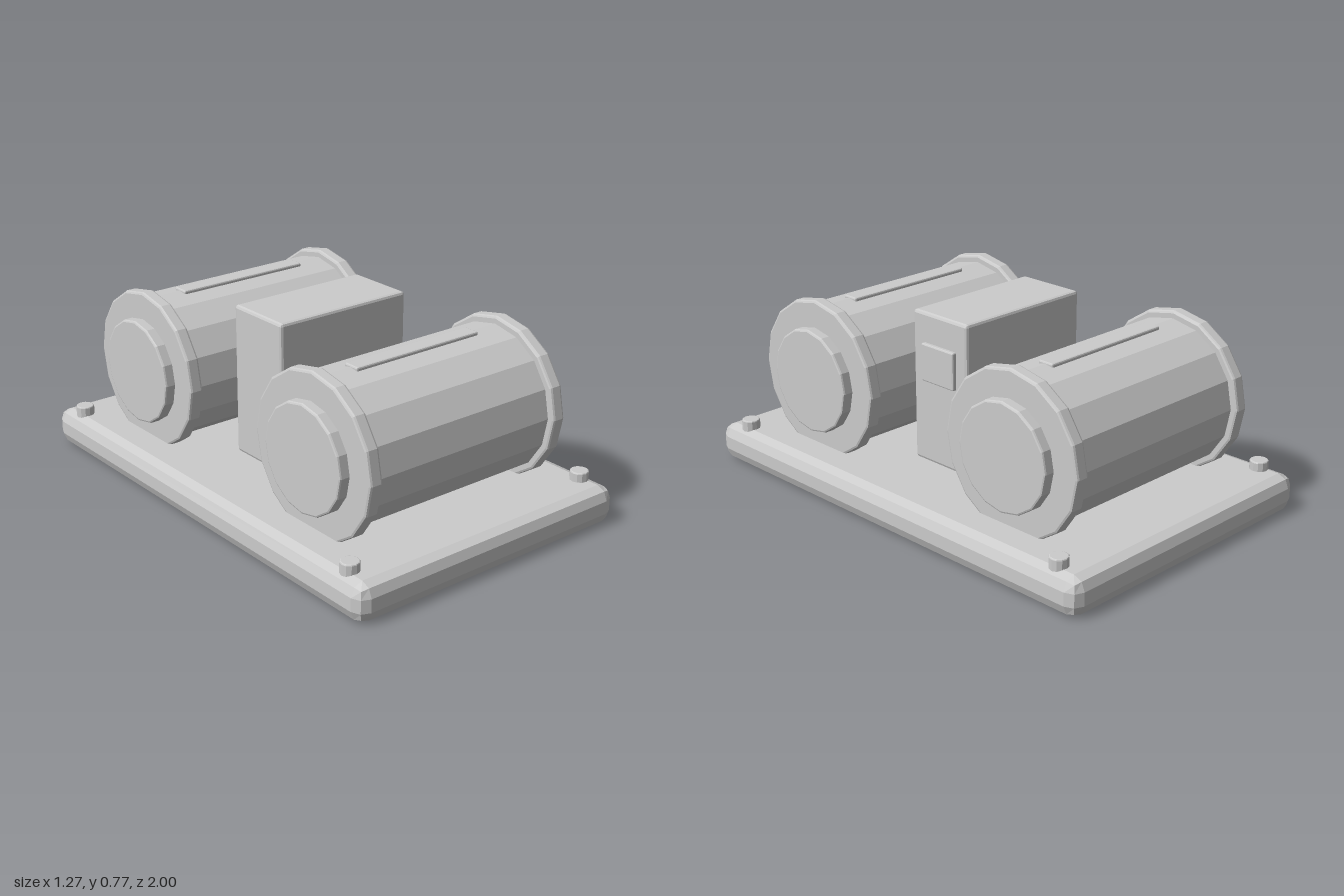
import * as THREE from 'three';
import { RoundedBoxGeometry } from 'three/addons/geometries/RoundedBoxGeometry.js';

const material = new THREE.MeshStandardMaterial({ color: 0xcccccc, flatShading: true });

function add(parent, name, geometry, x = 0, y = 0, z = 0) {
  const mesh = new THREE.Mesh(geometry, material);
  mesh.name = name;
  mesh.position.set(x, y, z);
  parent.add(mesh);
  return mesh;
}

// Upright disc with small rounded rims, centred on its own origin
function bevelledDisc(radius, height, bevel, sides) {
  const h = height / 2, k = bevel * 0.293;
  const profile = [
    [0, -h], [radius - bevel, -h], [radius - k, -h + k], [radius, -h + bevel],
    [radius, h - bevel], [radius - k, h - k], [radius - bevel, h], [0, h],
  ].map(([r, y]) => new THREE.Vector2(r, y));
  return new THREE.LatheGeometry(profile, sides);
}

// Same disc turned to lie along x
const axialDisc = (radius, width, bevel) =>
  bevelledDisc(radius, width, bevel, 16).rotateZ(-Math.PI / 2);

// Drum with end flanges, end caps and a thin strip along the top
function createDrum(name, z) {
  const drum = new THREE.Group();
  drum.name = name;
  drum.position.set(0, 0.43, z);
  add(drum, 'drumBody', new THREE.CylinderGeometry(0.295, 0.295, 0.88, 16).rotateZ(-Math.PI / 2));
  for (const side of [-1, 1]) {
    const label = side > 0 ? 'left' : 'right';
    add(drum, label + 'Flange', axialDisc(0.325, 0.057, 0.01), side * 0.4465);
    add(drum, label + 'EndCap', axialDisc(0.214, 0.068, 0.008), side * 0.484);
  }
  add(drum, 'topStrip', new RoundedBoxGeometry(0.59, 0.04, 0.07, 1, 0.006), 0, 0.282, 0);
  return drum;
}

export function createModel() {
  const model = new THREE.Group();
  model.name = 'twinDrumUnit';

  // Base plate
  add(model, 'basePlate', new RoundedBoxGeometry(1.27, 0.153, 2, 1, 0.05), 0, 0.0765, 0);

  // Two drums lying across the plate
  model.add(createDrum('frontDrum', 0.535), createDrum('backDrum', -0.535));

  // Central control box with a raised panel on its left end
  add(model, 'controlBox', new RoundedBoxGeometry(0.612, 0.612, 0.292, 1, 0.012), 0, 0.469, 0);
  add(model, 'controlPanel', new RoundedBoxGeometry(0.04, 0.153, 0.175, 1, 0.006), 0.303, 0.579, 0);

  // Corner bolts
  for (const x of [-0.571, 0.571]) {
    for (const z of [-0.868, 0.868]) {
      const name = (z > 0 ? 'front' : 'back') + (x > 0 ? 'Left' : 'Right') + 'Bolt';
      add(model, name, bevelledDisc(0.037, 0.06, 0.005, 12), x, 0.161, z);
    }
  }
  return model;
}
